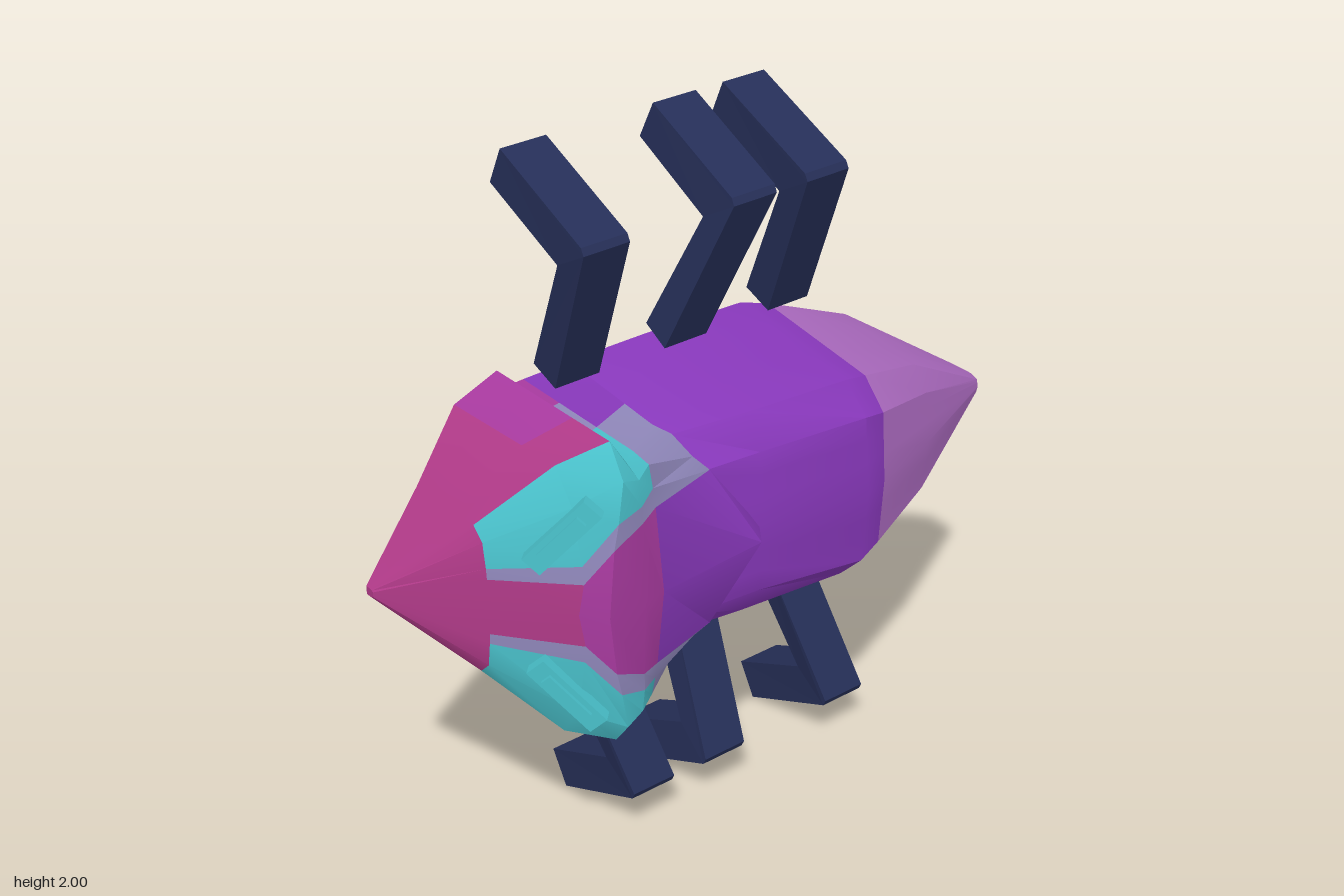
import * as THREE from 'three';
import { toCreasedNormals } from 'three/addons/utils/BufferGeometryUtils.js';

const MID = 1; // height of the mirror plane
const palette = {
  P: ['pink', 0xb03a88], M: ['magenta', 0xa83a9f], V: ['violet', 0x8838bb],
  U: ['mauve', 0xab6abf], C: ['cyan', 0x4ac2cc], L: ['lavender', 0x9088bb],
  N: ['navy', 0x262f58],
};

// Full ring from belly, shoulder, top, mid, inner and back-centre points [x, halfWidth, z]
function ring(belly, shoulder, top, mid, inner, centre) {
  const mix = t => belly.map((v, i) => v + (shoulder[i] - v) * t);
  const half = [[belly[0], 0, belly[2]], belly, mix(0.34), mix(0.68), shoulder, top, mid, inner, centre];
  const other = half.slice(1, -1).reverse().map(([x, w, z]) => [x, -w, z]);
  return [...half, ...other].map(([x, w, z]) => new THREE.Vector3(x, MID + w, z));
}

// Skin between rings; each string gives the colour of the 8 strips from belly to back
function loft(rings, colours, mats, crease) {
  const buckets = {};
  const tri = (key, ...pts) => (buckets[key] ??= []).push(...pts);
  const n = rings[0].length;
  colours.forEach((row, i) => {
    for (let j = 0; j < n; j++) {
      const k = (j + 1) % n;
      const key = row[j < 8 ? j : 15 - j];
      const [a, b, c, d] = [rings[i][j], rings[i][k], rings[i + 1][k], rings[i + 1][j]];
      tri(key, a, b, c);
      tri(key, a, c, d);
    }
  });
  const cap = (r, key, flip) => {
    const c = r.reduce((s, p) => s.add(p), new THREE.Vector3()).divideScalar(n);
    for (let j = 0; j < n; j++) {
      const k = (j + 1) % n;
      tri(key, c, r[flip ? k : j], r[flip ? j : k]);
    }
  };
  cap(rings[0], colours[0][0], true);
  cap(rings.at(-1), colours.at(-1)[0], false);

  const geo = new THREE.BufferGeometry();
  const keys = Object.keys(buckets);
  const points = keys.flatMap(k => buckets[k]);
  geo.setFromPoints(points);
  let start = 0;
  keys.forEach((k, i) => {
    geo.addGroup(start, buckets[k].length, i);
    start += buckets[k].length;
  });
  return new THREE.Mesh(toCreasedNormals(geo, crease), keys.map(k => mats[k]));
}

// Abdomen ring at one x
function bodyRing(x, wb, zb, ws, zs, wt, zt, zc) {
  return ring([x, wb, zb], [x, ws, zs], [x, wt, zt],
    [x, wt * 0.7, zt + (zc - zt) * 0.3], [x, wt * 0.4, zt + (zc - zt) * 0.6], [x, 0, zc]);
}

// Bent leg: an extruded elbow, sheared sideways from hip to knee to foot
function leg(lower, hip, knee, foot, mat) {
  const outline = [[-0.155, 1.37], [0.055, 1.83], [0.045, 1.85], [-0.28, 2], [-0.33, 1.895], [-0.06, 1.765], [-0.24, 1.41]];
  const shape = new THREE.Shape(outline.map(([z, y]) => new THREE.Vector2(-z, lower ? 2 - y : y)));
  const geo = new THREE.ExtrudeGeometry(shape, { depth: 0.14, bevelEnabled: false });
  geo.translate(0, 0, -0.07).rotateY(Math.PI / 2);
  const pos = geo.attributes.position;
  for (let i = 0; i < pos.count; i++) {
    const y = lower ? 2 - pos.getY(i) : pos.getY(i);
    const x = y < 1.8
      ? THREE.MathUtils.mapLinear(y, 1.39, 1.8, hip, knee)
      : THREE.MathUtils.mapLinear(y, 1.8, 2, knee, foot);
    pos.setX(i, pos.getX(i) + x);
    // feet tilt slightly
    pos.setY(i, THREE.MathUtils.clamp(pos.getY(i), 0, 2));
  }
  geo.computeVertexNormals();
  return new THREE.Mesh(geo, mat);
}

// Raised slanted eye with a smaller inset block
function eye(side, mat) {
  const group = new THREE.Group();
  const a = new THREE.Vector3(-0.71, side * 0.14, 0.185);
  const b = new THREE.Vector3(-0.59, side * 0.32, 0.3);
  const along = b.clone().sub(a).normalize();
  const out = new THREE.Vector3(-0.74, 0, 0.67);
  out.addScaledVector(along, -out.dot(along)).normalize();
  const across = along.clone().cross(out);
  group.add(new THREE.Mesh(new THREE.BoxGeometry(0.23, 0.035, 0.06), mat));
  const inset = new THREE.Mesh(new THREE.BoxGeometry(0.15, 0.02, 0.03), mat);
  inset.position.y = 0.018;
  group.add(inset);
  group.quaternion.setFromRotationMatrix(new THREE.Matrix4().makeBasis(along, out, across));
  group.position.copy(a).add(b).multiplyScalar(0.5).addScaledVector(out, 0.008);
  group.position.y += MID;
  return group;
}

export function createModel() {
  const model = new THREE.Group();
  const mats = {};
  for (const [key, [name, color]] of Object.entries(palette)) {
    mats[key] = new THREE.MeshStandardMaterial({ color });
    mats[key].name = name;
  }
  const add = (name, part) => {
    part.name = name;
    model.add(part);
  };

  // Pointed head, flared cheeks and the V-shaped shield behind them
  const front = [
    ring([-0.97, 0.012, -0.16], [-0.97, 0.012, -0.14], [-0.97, 0.01, -0.135], [-0.97, 0.007, -0.13], [-0.97, 0.004, -0.13], [-0.97, 0, -0.13]),
    ring([-0.78, 0.21, -0.2], [-0.78, 0.215, 0.05], [-0.78, 0.18, 0.085], [-0.78, 0.11, 0.095], [-0.78, 0.08, 0.097], [-0.78, 0, 0.1]),
    ring([-0.63, 0.375, -0.24], [-0.63, 0.39, 0.19], [-0.63, 0.3, 0.255], [-0.62, 0.14, 0.275], [-0.62, 0.09, 0.28], [-0.63, 0, 0.27]),
    ring([-0.51, 0.44, -0.22], [-0.51, 0.44, 0.25], [-0.52, 0.36, 0.315], [-0.54, 0.25, 0.32], [-0.555, 0.18, 0.32], [-0.58, 0, 0.33]),
    ring([-0.465, 0.36, -0.26], [-0.465, 0.37, 0.25], [-0.465, 0.34, 0.305], [-0.465, 0.27, 0.315], [-0.465, 0.22, 0.315], [-0.465, 0, 0.325]),
    ring([-0.4, 0.36, -0.265], [-0.41, 0.36, 0.21], [-0.4, 0.34, 0.26], [-0.4, 0.28, 0.275], [-0.4, 0.23, 0.285], [-0.4, 0, 0.315]),
    ring([-0.25, 0.36, -0.27], [-0.28, 0.35, 0.12], [-0.25, 0.33, 0.16], [-0.215, 0.27, 0.2], [-0.18, 0.23, 0.225], [-0.06, 0, 0.29]),
    ring([-0.22, 0.33, -0.25], [-0.24, 0.3, 0.1], [-0.2, 0.25, 0.13], [-0.17, 0.22, 0.15], [-0.14, 0.18, 0.17], [-0.01, 0, 0.22]),
  ];
  const bands = ['PPPPPPPP', 'PPPPCCLP', 'MMMPCCLM', 'MMLCCCLM', 'MMLCCCLM', 'VVVLLLLV', 'VVVVVVVV'];
  add('headAndShield', loft(front, bands, mats, 0.5));

  // Long abdomen tapering to a mauve tail
  const abdomen = [
    bodyRing(-0.3, 0.34, -0.25, 0.28, 0.1, 0.2, 0.18, 0.2),
    bodyRing(-0.22, 0.36, -0.272, 0.3, 0.12, 0.21, 0.19, 0.21),
    bodyRing(0, 0.36, -0.272, 0.3, 0.15, 0.21, 0.21, 0.23),
    bodyRing(0.32, 0.36, -0.255, 0.3, 0.18, 0.22, 0.26, 0.28),
    bodyRing(0.4, 0.34, -0.235, 0.28, 0.165, 0.2, 0.24, 0.255),
    bodyRing(0.63, 0.26, -0.17, 0.215, 0.11, 0.15, 0.165, 0.18),
    bodyRing(0.97, 0.03, -0.07, 0.03, 0, 0.02, 0.025, 0.03),
  ];
  const skin = [...'VVVVUU'].map(c => c.repeat(8));
  add('abdomen', loft(abdomen, skin, mats, 0.5));

  // Eyes
  add('leftEye', eye(1, mats.C));
  add('rightEye', eye(-1, mats.C));

  // Three legs on each flank: hip, knee and foot positions along the body
  const upper = [[-0.31, -0.36, -0.36], [0.05, 0.105, 0.115], [0.4, 0.35, 0.345]];
  const lower = [[-0.31, -0.24, -0.23], [0.05, 0.015, 0.01], [0.39, 0.46, 0.47]];
  upper.forEach((p, i) => add(`upperLeg${i + 1}`, leg(false, ...p, mats.N)));
  lower.forEach((p, i) => add(`lowerLeg${i + 1}`, leg(true, ...p, mats.N)));
  return model;
}
